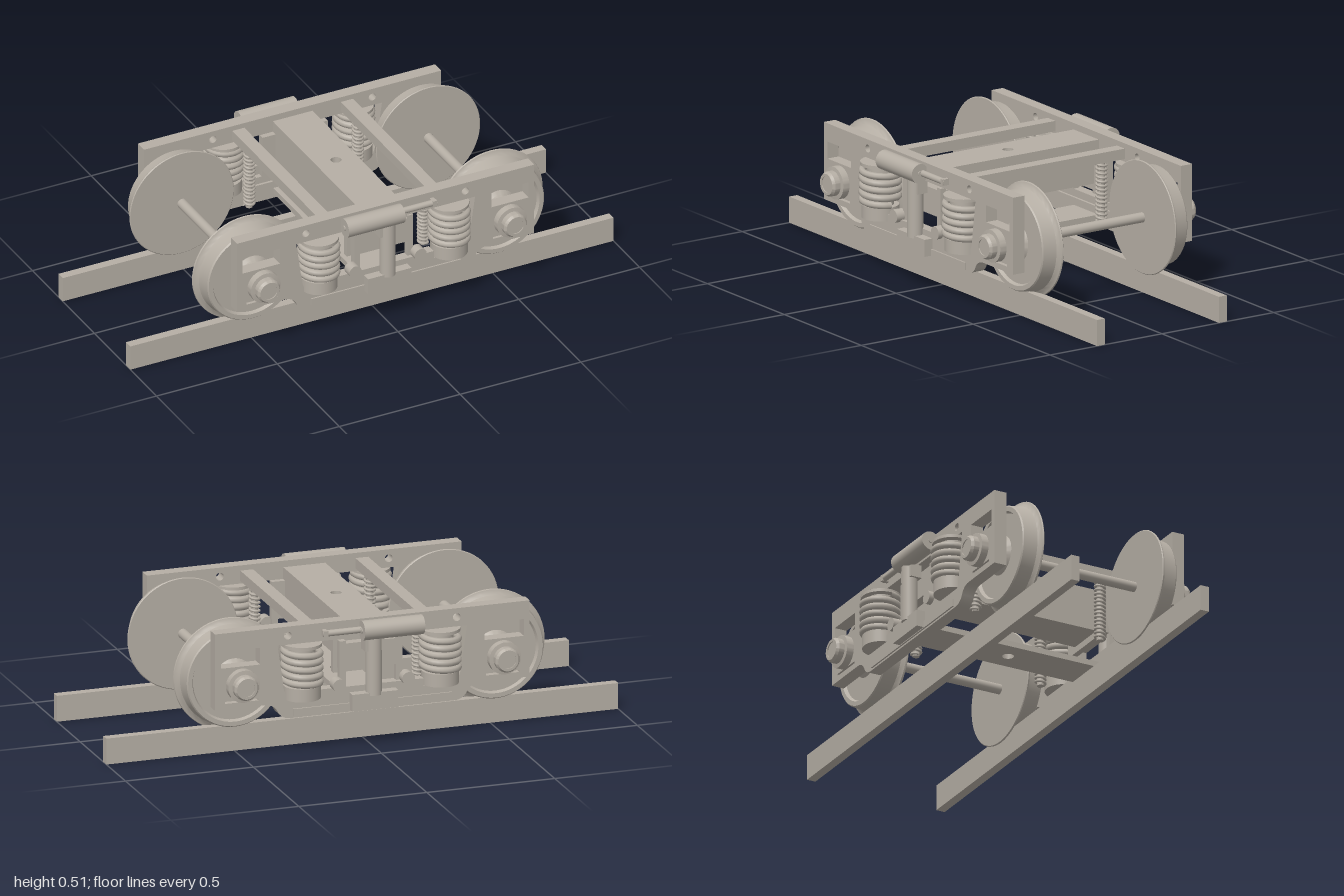
import * as THREE from 'three';
import { toCreasedNormals } from 'three/addons/utils/BufferGeometryUtils.js';

const steel = new THREE.MeshStandardMaterial({ color: 0xb5aea4 });
steel.name = 'weathered grey steel';

function add(parent, name, geometry, x = 0, y = 0, z = 0) {
  const mesh = new THREE.Mesh(geometry, steel);
  mesh.name = name;
  mesh.position.set(x, y, z);
  parent.add(mesh);
  return mesh;
}

// Box given by its extents
function block(parent, name, x0, x1, y0, y1, z0, z1) {
  return add(parent, name, new THREE.BoxGeometry(x1 - x0, y1 - y0, z1 - z0),
    (x0 + x1) / 2, (y0 + y1) / 2, (z0 + z1) / 2);
}

const cylX = (r, l) => new THREE.CylinderGeometry(r, r, l, 32).rotateZ(Math.PI / 2);
const cylY = (r, l) => new THREE.CylinderGeometry(r, r, l, 32);
const cylZ = (r, l) => new THREE.CylinderGeometry(r, r, l, 32).rotateX(Math.PI / 2);

// Turned part along +z from [radius, z] points
function turned(points) {
  const g = new THREE.LatheGeometry(points.map(([r, z]) => new THREE.Vector2(r, z)), 64);
  return toCreasedNormals(g.rotateX(Math.PI / 2), 0.5);
}

function polygon(points, Type = THREE.Path) {
  return new Type(points.map(([x, y]) => new THREE.Vector2(x, y)));
}
const rect = (x0, x1, y0, y1, Type) => polygon([[x0, y0], [x1, y0], [x1, y1], [x0, y1]], Type);
const circle = (x, y, r) => new THREE.Path().absarc(x, y, r, 0, Math.PI * 2, true);

// Helical coil standing on y = 0
function coil(radius, wire, height, turns, steps) {
  const points = [];
  for (let i = 0; i <= turns * steps; i++) {
    const a = (i / steps) * Math.PI * 2;
    points.push(new THREE.Vector3(Math.cos(a) * radius,
      wire + (height - 2 * wire) * i / (turns * steps), Math.sin(a) * radius));
  }
  return new THREE.TubeGeometry(new THREE.CatmullRomCurve3(points), turns * 28, wire, 8);
}

// Cast side frame with spring window, journal slots and round holes
function sideFrameGeometry() {
  const s = new THREE.Shape();
  s.moveTo(-0.615, 0.495);
  s.lineTo(-0.615, 0.2);
  s.lineTo(-0.42, 0.2);
  s.quadraticCurveTo(-0.385, 0.2, -0.37, 0.17);
  s.quadraticCurveTo(-0.355, 0.14, -0.32, 0.14);
  s.lineTo(0.32, 0.14);
  s.quadraticCurveTo(0.355, 0.14, 0.37, 0.17);
  s.quadraticCurveTo(0.385, 0.2, 0.42, 0.2);
  s.lineTo(0.615, 0.2);
  s.lineTo(0.615, 0.495);
  s.closePath();
  s.holes.push(polygon([[-0.33, 0.21], [0.33, 0.21], [0.345, 0.25], [0.37, 0.425],
    [-0.37, 0.425], [-0.345, 0.25]]));
  for (const m of [-1, 1]) {
    s.holes.push(rect(m * 0.515 - 0.077, m * 0.515 + 0.077, 0.36, 0.425));
    s.holes.push(rect(m * 0.51 - 0.065, m * 0.51 + 0.065, 0.222, 0.23));
    s.holes.push(circle(m * 0.33, 0.46, 0.015));
  }
  return new THREE.ExtrudeGeometry(s, { depth: 0.05, bevelEnabled: false, curveSegments: 16 });
}

// Transverse beam with a centre pin hole
function pinBeam(halfWidth, halfLength, height, hole) {
  const s = rect(-halfWidth, halfWidth, -halfLength, halfLength, THREE.Shape);
  s.holes.push(circle(0, 0, hole));
  return new THREE.ExtrudeGeometry(s, { depth: height, bevelEnabled: false, curveSegments: 20 })
    .rotateX(-Math.PI / 2);
}

// Everything on one side of the truck; dir keeps the damper pointing the same way
function buildSide(dir) {
  const side = new THREE.Group();
  add(side, 'sideFrame', sideFrameGeometry(), 0, 0, 0.35);
  block(side, 'lowerRib', -0.31, 0.31, 0.147, 0.175, 0.4, 0.406);
  block(side, 'rail', -1, 1, 0, 0.1, 0.255, 0.29);

  for (const m of [-1, 1]) {
    // Wheel with flange, and axle bearing
    add(side, 'wheel', turned([[0, 0.249], [0.213, 0.249], [0.216, 0.252], [0.214, 0.257],
      [0.202, 0.261], [0.195, 0.268], [0.192, 0.28], [0.187, 0.32], [0.183, 0.325],
      [0.166, 0.325], [0.16, 0.312], [0.075, 0.312], [0.062, 0.325], [0.06, 0.338],
      [0, 0.338]]), m * 0.51, 0.29);
    add(side, 'axleBearing', turned([[0, 0.34], [0.03, 0.34], [0.03, 0.4], [0.062, 0.4],
      [0.062, 0.428], [0.047, 0.43], [0.047, 0.452], [0.04, 0.462], [0.03, 0.462],
      [0.03, 0.458], [0, 0.458]]), m * 0.51, 0.29);

    // Main spring with seats
    add(side, 'mainSpring', coil(0.068, 0.013, 0.165, 5, 16), m * 0.27, 0.257, 0.385);
    add(side, 'innerSpring', cylY(0.05, 0.18), m * 0.27, 0.335, 0.385);
    add(side, 'springSeat', cylY(0.07, 0.05), m * 0.27, 0.237, 0.385);
    add(side, 'springCap', cylY(0.075, 0.012), m * 0.27, 0.419, 0.385);

    // Slender spring beneath each cross beam
    add(side, 'smallSpring', coil(0.018, 0.005, 0.245, 15, 10), m * 0.225, 0.19, 0.262);
    add(side, 'smallSpringCore', cylY(0.013, 0.245), m * 0.225, 0.3125, 0.262);

    // Links beside the bolster end
    add(side, 'pivotKnob', cylZ(0.025, 0.04), m * 0.135, 0.25, 0.4);
    block(side, 'guideColumn', m * 0.11 - 0.012, m * 0.11 + 0.012, 0.21, 0.41, 0.36, 0.385);
  }

  // Bolster end, guide plate and linkage inside the window
  block(side, 'bolsterEnd', -0.12, 0.12, 0.3, 0.4, 0.35, 0.385);
  block(side, 'guidePlate', -0.135, 0.135, 0.28, 0.425, 0.328, 0.35);
  block(side, 'lowerLink', -0.2, 0.2, 0.21, 0.238, 0.36, 0.4);
  add(side, 'verticalDamper', cylY(0.03, 0.23), 0, 0.32, 0.415);
  block(side, 'damperYoke', -0.038, 0.038, 0.375, 0.43, 0.385, 0.43);
  block(side, 'damperBracket', -0.09, 0.09, 0.15, 0.215, 0.4, 0.435);

  // Horizontal damper and its rod
  add(side, 'damperBody', cylX(0.037, 0.235), -0.067 * dir, 0.458, 0.428);
  add(side, 'damperRod', cylX(0.012, 0.16), 0.12 * dir, 0.458, 0.416);
  add(side, 'damperPin', cylX(0.01, 0.243), -0.067 * dir, 0.458, 0.428);
  block(side, 'rodMount', 0.19 * dir - 0.008, 0.19 * dir + 0.008, 0.446, 0.47, 0.4, 0.428);
  return side;
}

export function createModel() {
  const model = new THREE.Group();
  model.name = 'railTruck';

  const front = buildSide(1);
  front.name = 'frontSide';
  const back = buildSide(-1);
  back.name = 'backSide';
  back.rotation.y = Math.PI;
  model.add(front, back);

  // Parts joining both sides
  for (const m of [-1, 1]) {
    add(model, 'axle', cylZ(0.019, 0.7), m * 0.51, 0.29, 0);
    block(model, 'crossBeam', m * 0.225 - 0.025, m * 0.225 + 0.025, 0.435, 0.475, -0.35, 0.35);
  }
  add(model, 'bolster', pinBeam(0.082, 0.35, 0.165, 0.02), 0, 0.305, 0);
  add(model, 'springPlank', pinBeam(0.08, 0.415, 0.022, 0.022), 0, 0.16, 0);
  return model;
}
